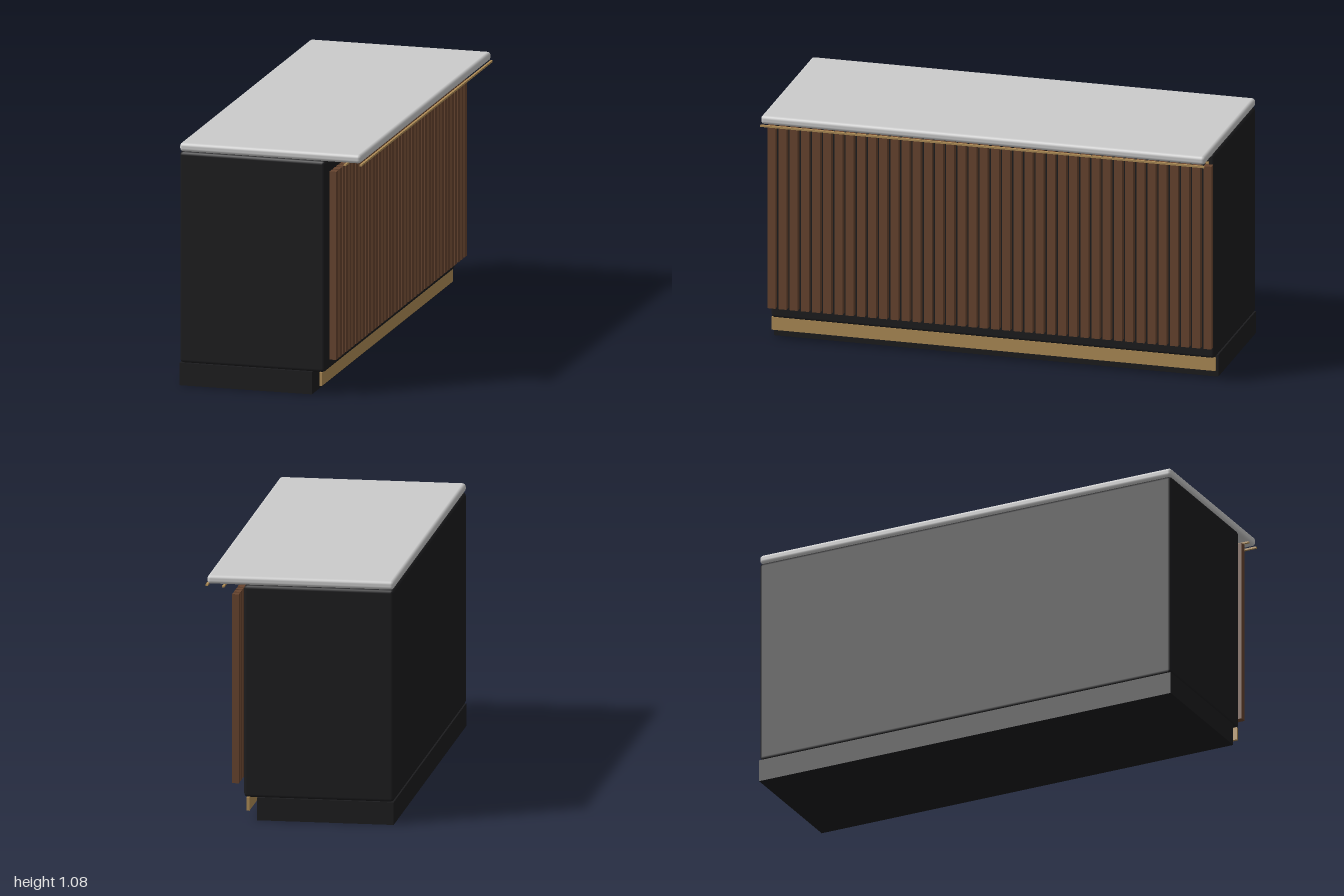
import * as THREE from 'three';
import { RoundedBoxGeometry } from 'three/addons/geometries/RoundedBoxGeometry.js';

const mat = (color) => new THREE.MeshStandardMaterial({ color });

export function createModel() {
  const group = new THREE.Group();
  group.name = 'barCounter';
  const black = mat(0x1c1c1e), walnut = mat(0x68452f), brass = mat(0xb08d57), stone = mat(0xcccccc);

  // Box from its x, y and z limits; a radius rounds the edges
  function box(name, material, [x0, x1], [y0, y1], [z0, z1] = [-1, 1], radius = 0, segments = 1) {
    const size = [x1 - x0, y1 - y0, z1 - z0];
    const geometry = radius
      ? new RoundedBoxGeometry(...size, segments, radius)
      : new THREE.BoxGeometry(...size);
    const mesh = new THREE.Mesh(geometry, material);
    mesh.name = name;
    mesh.position.set((x0 + x1) / 2, (y0 + y1) / 2, (z0 + z1) / 2);
    group.add(mesh);
  }

  // Cabinet, recessed plinth and worktop
  box('plinth', black, [-0.413, 0.186], [0, 0.1]);
  box('cabinetBody', black, [-0.413, 0.245], [0.1, 1.041], [-1, 1], 0.015, 1);
  box('worktop', stone, [-0.413, 0.406], [1.041, 1.08], [-1, 1], 0.015, 2);

  // Brass kick strip and the two thin trims under the overhang
  box('kickStrip', brass, [0.22, 0.232], [0.041, 0.1]);
  box('innerTrim', brass, [0.33, 0.34], [1.028, 1.035]);
  box('edgeTrim', brass, [0.402, 0.412], [1.032, 1.04]);

  // Row of upright slats along the customer side
  const count = 40, width = 0.036;
  for (let i = 0; i < count; i++) {
    const z = -1 + (i * (2 - width)) / (count - 1);
    box('slat' + (i + 1), walnut, [0.266, 0.296], [0.161, 1], [z, z + width]);
  }
  return group;
}
